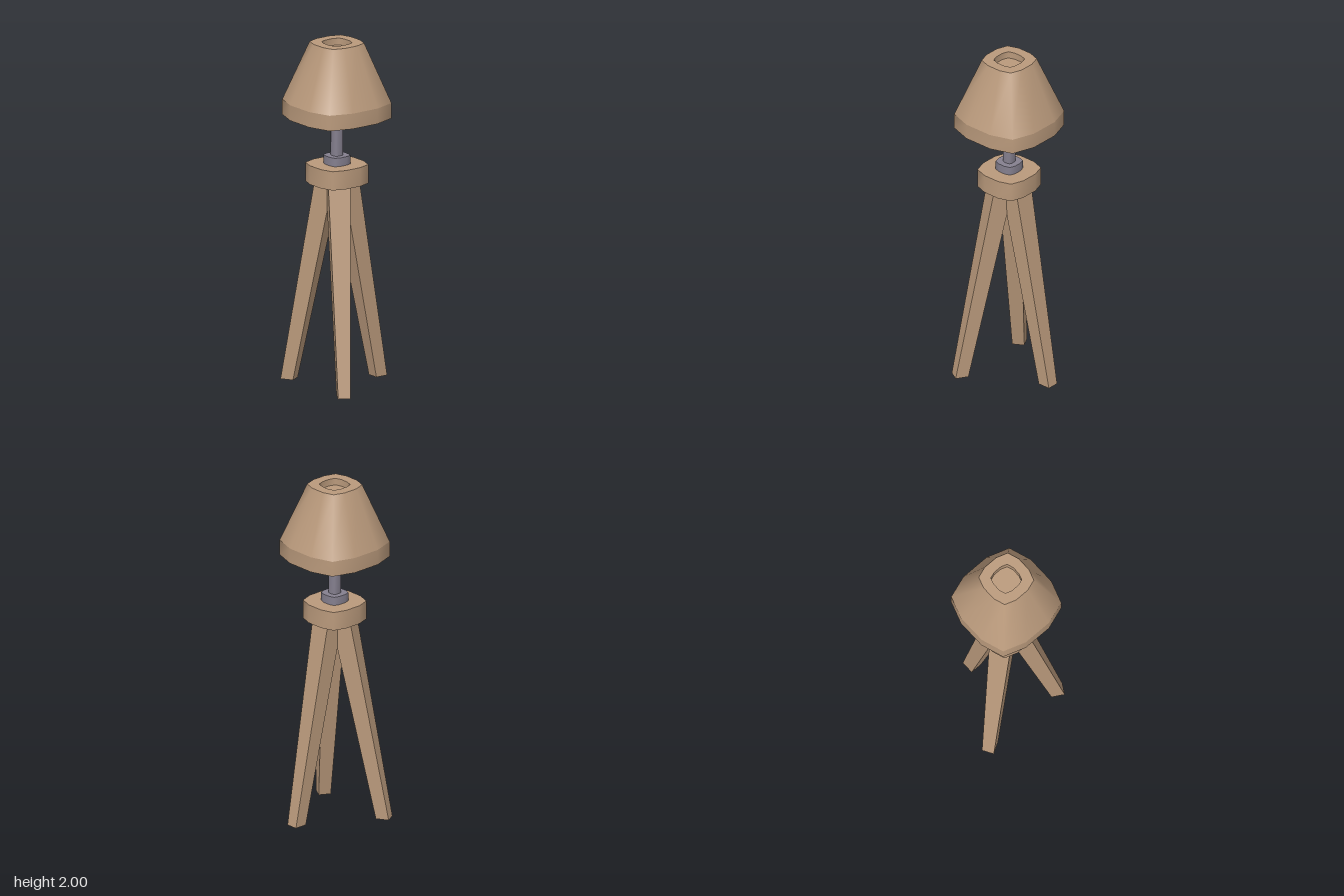
import * as THREE from 'three';

const CENTER_Z = 0.032;

// Soft square outline of half-width 1, twelve corners running from +x towards +z
const OUTLINE = [];
for (let q = 0; q < 4; q++) {
  const a = q * Math.PI / 2, c = Math.cos(a), s = Math.sin(a);
  for (const [x, z] of [[1, -0.333], [1, 0.333], [0.833, 0.833]]) {
    OUTLINE.push([x * c - z * s, x * s + z * c]);
  }
}

// Stacks soft squares along a [halfWidth, y] profile; each band is smooth, its rims are sharp
function softSquareLoft(profile) {
  const positions = [], indices = [], n = OUTLINE.length;
  for (let k = 0; k < profile.length - 1; k++) {
    const base = positions.length / 3;
    for (const [half, y] of [profile[k], profile[k + 1]]) {
      for (const [x, z] of OUTLINE) positions.push(x * half, y, z * half);
    }
    for (let i = 0; i < n; i++) {
      const a = base + i, a2 = base + (i + 1) % n;
      if (profile[k][0] > 0) indices.push(a, a + n, a2);
      if (profile[k + 1][0] > 0) indices.push(a2, a + n, a2 + n);
    }
  }
  const geometry = new THREE.BufferGeometry();
  geometry.setAttribute('position', new THREE.Float32BufferAttribute(positions, 3));
  geometry.setIndex(indices);
  geometry.computeVertexNormals();
  return geometry;
}

// Closed straight block
function block(half, y0, y1) {
  return softSquareLoft([[0, y0], [half, y0], [half, y1], [0, y1]]);
}

// Tapered leg leaning out towards -z
function legGeometry() {
  const geometry = new THREE.BoxGeometry(1, 1, 1);
  const p = geometry.attributes.position;
  for (let i = 0; i < p.count; i++) {
    const top = p.getY(i) > 0, outer = p.getZ(i) < 0;
    const halfWidth = top ? 0.063 : 0.035;
    const reach = top ? (outer ? 0.112 : 0) : (outer ? 0.33 : 0.254);
    p.setXYZ(i, Math.sign(p.getX(i)) * halfWidth, top ? 1.185 : 0, -reach);
  }
  geometry.computeVertexNormals();
  return geometry;
}

export function createModel() {
  const wood = new THREE.MeshStandardMaterial({ color: 0xba9a7c });
  wood.name = 'wood';
  const metal = new THREE.MeshStandardMaterial({ color: 0x85808f });
  metal.name = 'metal';

  const lamp = new THREE.Group();
  lamp.name = 'floorLamp';
  lamp.position.z = CENTER_Z;
  const add = (name, geometry, material) => {
    const mesh = new THREE.Mesh(geometry, material);
    mesh.name = name;
    lamp.add(mesh);
    return mesh;
  };

  // Three splayed legs, one at the back
  const leg = legGeometry();
  ['backLeg', 'rightLeg', 'leftLeg'].forEach((name, i) => {
    add(name, leg, wood).rotation.y = i * Math.PI * 2 / 3;
  });

  // Collar, metal plate and pole
  add('collar', block(0.152, 1.18, 1.29), wood);
  add('plate', block(0.065, 1.29, 1.34), metal);
  add('pole', block(0.03, 1.34, 1.57), metal);

  // Shade with a straight lower band and a shallow recess in the top
  add('shade', softSquareLoft([
    [0, 1.565], [0.264, 1.565], [0.264, 1.655], [0.132, 2],
    [0.074, 2], [0.074, 1.96], [0, 1.96],
  ]), wood);

  const model = new THREE.Group();
  model.add(lamp);
  return model;
}
